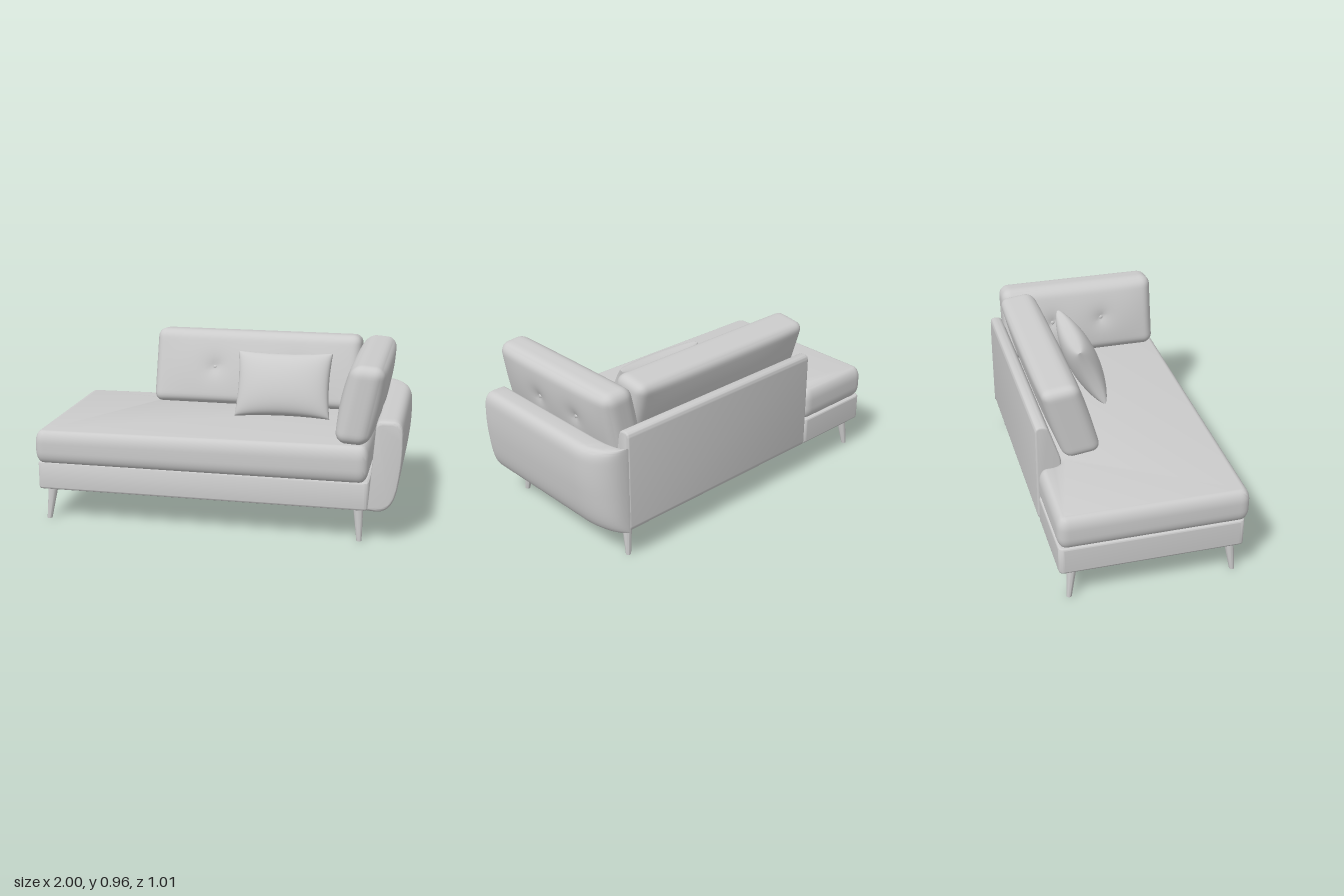
import * as THREE from 'three';
import { mergeVertices, toCreasedNormals } from 'three/addons/utils/BufferGeometryUtils.js';

const fabric = new THREE.MeshStandardMaterial({ color: 0xcccccc });

function add(parent, name, geometry) {
  const mesh = new THREE.Mesh(geometry, fabric);
  mesh.name = name;
  parent.add(mesh);
  return mesh;
}

// Closed outline with every corner rounded by r
function roundedShape(points, r) {
  const pts = points.map(([x, y]) => new THREE.Vector2(x, y));
  const shape = new THREE.Shape();
  pts.forEach((p, i) => {
    const toward = (q) => p.clone().add(q.clone().sub(p).setLength(Math.min(r, p.distanceTo(q) * 0.45)));
    const a = toward(pts[(i + pts.length - 1) % pts.length]);
    const b = toward(pts[(i + 1) % pts.length]);
    if (i === 0) shape.moveTo(a.x, a.y);
    else shape.lineTo(a.x, a.y);
    shape.quadraticCurveTo(p.x, p.y, b.x, b.y);
  });
  shape.closePath();
  return shape;
}

// L-shaped plan: full depth at the chaise end, notched for the backrest
function planShape(x0, x1, front, back, notch, r) {
  return roundedShape([[x0, -front], [x1, -front], [x1, -notch], [-0.5, -notch], [-0.5, -back], [x0, -back]], r);
}

// Horizontal slab with rolled edges; the top falls by drop toward -x
function slab(shape, y0, y1, roll, inset, drop) {
  const g = new THREE.ExtrudeGeometry(shape, {
    depth: y1 - y0 - 2 * roll, bevelThickness: roll, bevelSize: inset, bevelOffset: -inset,
    bevelSegments: 8, curveSegments: 8,
  });
  g.rotateX(-Math.PI / 2).translate(0, y0 + roll, 0);
  const pos = g.attributes.position;
  for (let i = 0; i < pos.count; i++) {
    const k = (pos.getY(i) - y0) / (y1 - y0);
    pos.setY(i, pos.getY(i) - drop * k * (1 - pos.getX(i)) / 2);
  }
  return toCreasedNormals(g, 0.7);
}

function smooth(g) {
  g.deleteAttribute('uv');
  g.deleteAttribute('normal');
  const merged = mergeVertices(g, 1e-5);
  merged.computeVertexNormals();
  return merged;
}

// Soft rounded block, slumped backward, with bulging faces and dimples at the buttons
function cushionGeometry([w, h, d], { r, puffiness, slump, buttons, sides }) {
  const g = new THREE.BoxGeometry(2, 2, 2, 56, 28, 12);
  const pos = g.attributes.position;
  const half = new THREE.Vector3(w / 2, h / 2, d / 2);
  const core = half.clone().subScalar(r);
  const low = core.clone().negate();
  const p = new THREE.Vector3(), inner = new THREE.Vector3();
  const ease = (u) => Math.sign(u) * (1 - Math.pow(1 - Math.min(1, Math.abs(u)), 1.4));
  for (let i = 0; i < pos.count; i++) {
    p.fromBufferAttribute(pos, i);
    p.set(ease(p.x), ease(p.y), ease(p.z));
    const u = p.x, v = p.y;
    p.multiply(half);
    inner.copy(p).clamp(low, core);
    p.sub(inner).setLength(r).add(inner);
    let puff = puffiness * (1 - u ** 4) * (1 - v * v);
    if (sides.includes(Math.sign(p.z))) {
      for (const bx of buttons) puff -= 0.028 * Math.exp(-Math.hypot(p.x - bx, p.y) / 0.045);
    }
    p.z += (puff * p.z) / half.z - slump * p.y;
    pos.setXYZ(i, p.x, p.y, p.z);
  }
  return smooth(g);
}

function tuftedCushion(name, size, options) {
  const group = new THREE.Group();
  group.name = name;
  add(group, name + 'Body', cushionGeometry(size, options));
  for (const x of options.buttons) {
    for (const side of options.sides) {
      const button = add(group, 'button', new THREE.SphereGeometry(0.012, 12, 8));
      button.position.set(x, 0, side * (size[2] / 2 + options.puffiness - 0.024));
      button.scale.z = 0.6;
    }
  }
  return group;
}

// Pillow: puffed middle, thin seam, sides drawn in between the corners
function pillowGeometry(w, h, d) {
  const g = new THREE.BoxGeometry(2, 2, 2, 32, 28, 1);
  const pos = g.attributes.position;
  for (let i = 0; i < pos.count; i++) {
    const u = Math.sin(pos.getX(i) * Math.PI / 2), v = Math.sin(pos.getY(i) * Math.PI / 2);
    const a = Math.max(0, 1 - u * u), b = Math.max(0, 1 - v * v);
    pos.setXYZ(i,
      (u * w / 2) * (1 - 0.05 * b),
      (v * h / 2) * (1 - 0.07 * a),
      pos.getZ(i) * (0.004 + (d / 2) * Math.pow(a * b, 0.38)));
  }
  return smooth(g);
}

// Armrest: swept section, wrapped round at the back and softened at the front
function armGeometry() {
  const s = new THREE.Shape();
  s.moveTo(0.825, 0.18);
  s.lineTo(0.87, 0.176);
  s.bezierCurveTo(0.96, 0.18, 0.975, 0.27, 0.99, 0.4);
  s.bezierCurveTo(1.0, 0.48, 1.0, 0.54, 0.998, 0.6);
  s.quadraticCurveTo(0.995, 0.67, 0.945, 0.672);
  s.lineTo(0.89, 0.672);
  s.quadraticCurveTo(0.86, 0.672, 0.857, 0.64);
  s.closePath();
  const g = new THREE.ExtrudeGeometry(s, { depth: 1, steps: 40, bevelEnabled: false, curveSegments: 10 });
  const pos = g.attributes.position;
  for (let i = 0; i < pos.count; i++) {
    let x = pos.getX(i), y = pos.getY(i), z;
    const t = pos.getZ(i);
    if (t <= 0.4) {
      const a = (1 - t / 0.4) * Math.PI / 2;
      z = -0.29 - 0.213 * Math.sin(a);
      x = 0.815 + (x - 0.815) * Math.max(0.08, Math.pow(Math.max(0, Math.cos(a)), 0.85));
    } else if (t <= 0.85) {
      z = -0.29 + ((t - 0.4) / 0.45) * 0.75;
    } else {
      const a = ((t - 0.85) / 0.15) * Math.PI / 2;
      const k = 1 - 0.09 * (1 - Math.cos(a));
      z = 0.46 + 0.025 * Math.sin(a);
      x = 0.9 + (x - 0.9) * k;
      y = 0.42 + (y - 0.42) * k;
    }
    pos.setXYZ(i, x, y, z);
  }
  return toCreasedNormals(g, 0.7);
}

// Tapered leg, splayed outward toward the floor
function legGeometry(x, z, dx, dz) {
  const g = new THREE.CylinderGeometry(0.028, 0.014, 0.19, 20, 1);
  const pos = g.attributes.position;
  for (let i = 0; i < pos.count; i++) {
    const k = pos.getY(i) / 0.19 + 0.5;
    pos.setXYZ(i, pos.getX(i) + x + dx * k, k * 0.19, pos.getZ(i) + z + dz * k);
  }
  return toCreasedNormals(g, 0.7);
}

export function createModel() {
  const sofa = new THREE.Group();
  sofa.name = 'chaiseSofa';

  // Base frame, open underneath beside the chaise
  const base = planShape(-0.99, 0.83, 0.485, -0.5, -0.4, 0.03);
  base.holes.push(new THREE.Path([[-0.49, -0.36], [-0.49, 0.37], [0.75, 0.37], [0.75, -0.36]]
    .map(([x, y]) => new THREE.Vector2(x, y))));
  add(sofa, 'baseFrame', slab(base, 0.18, 0.335, 0.012, 0.012, 0));

  // Seat cushion
  add(sofa, 'seatCushion', slab(planShape(-1, 0.825, 0.508, -0.503, -0.38, 0.06), 0.33, 0.532, 0.075, 0.04, 0.018));

  // Backrest panel, thinner at the top; profile x points to the rear
  const backProfile = roundedShape(
    [[0.505, 0.178], [0.505, 0.752], [0.44, 0.752], [0.37, 0.54], [0.37, 0.178]], 0.03);
  const backGeo = new THREE.ExtrudeGeometry(backProfile, {
    depth: 1.3, bevelThickness: 0.01, bevelSize: 0.01, bevelOffset: -0.01, bevelSegments: 3, curveSegments: 6,
  });
  backGeo.rotateY(Math.PI / 2).translate(-0.49, 0, 0);
  add(sofa, 'backrest', toCreasedNormals(backGeo, 0.6));

  // Armrest
  add(sofa, 'armrest', armGeometry());

  // Loose cushions
  const backCushion = tuftedCushion('backCushion', [1.2, 0.425, 0.2],
    { r: 0.05, puffiness: 0.02, slump: 0.17, buttons: [-0.24, 0.24], sides: [1] });
  backCushion.position.set(0.1, 0.744, -0.308);
  backCushion.rotation.x = -0.13;
  sofa.add(backCushion);

  const armCushion = tuftedCushion('armCushion', [0.92, 0.425, 0.175],
    { r: 0.058, puffiness: 0.03, slump: -0.12, buttons: [-0.13, 0.17], sides: [-1, 1] });
  armCushion.position.set(0.768, 0.735, 0.02);
  armCushion.rotation.order = 'ZYX';
  armCushion.rotation.set(0, Math.PI / 2, -0.08);
  armCushion.scale.x = 1;
  sofa.add(armCushion);
  armCushion.children.forEach((part) => { part.position.x *= 1; });

  const pillow = add(sofa, 'throwPillow', pillowGeometry(0.54, 0.375, 0.17));
  pillow.position.set(0.287, 0.703, -0.07);
  pillow.rotation.set(-0.4, 0, 0.01);

  // Legs
  for (const side of [-1, 1]) {
    add(sofa, 'legChaiseEnd', legGeometry(-0.945, side * 0.443, 0.022, -side * 0.022));
    add(sofa, 'legArmEnd', legGeometry(0.785, side * 0.443, -0.012, -side * 0.022));
  }
  return sofa;
}
